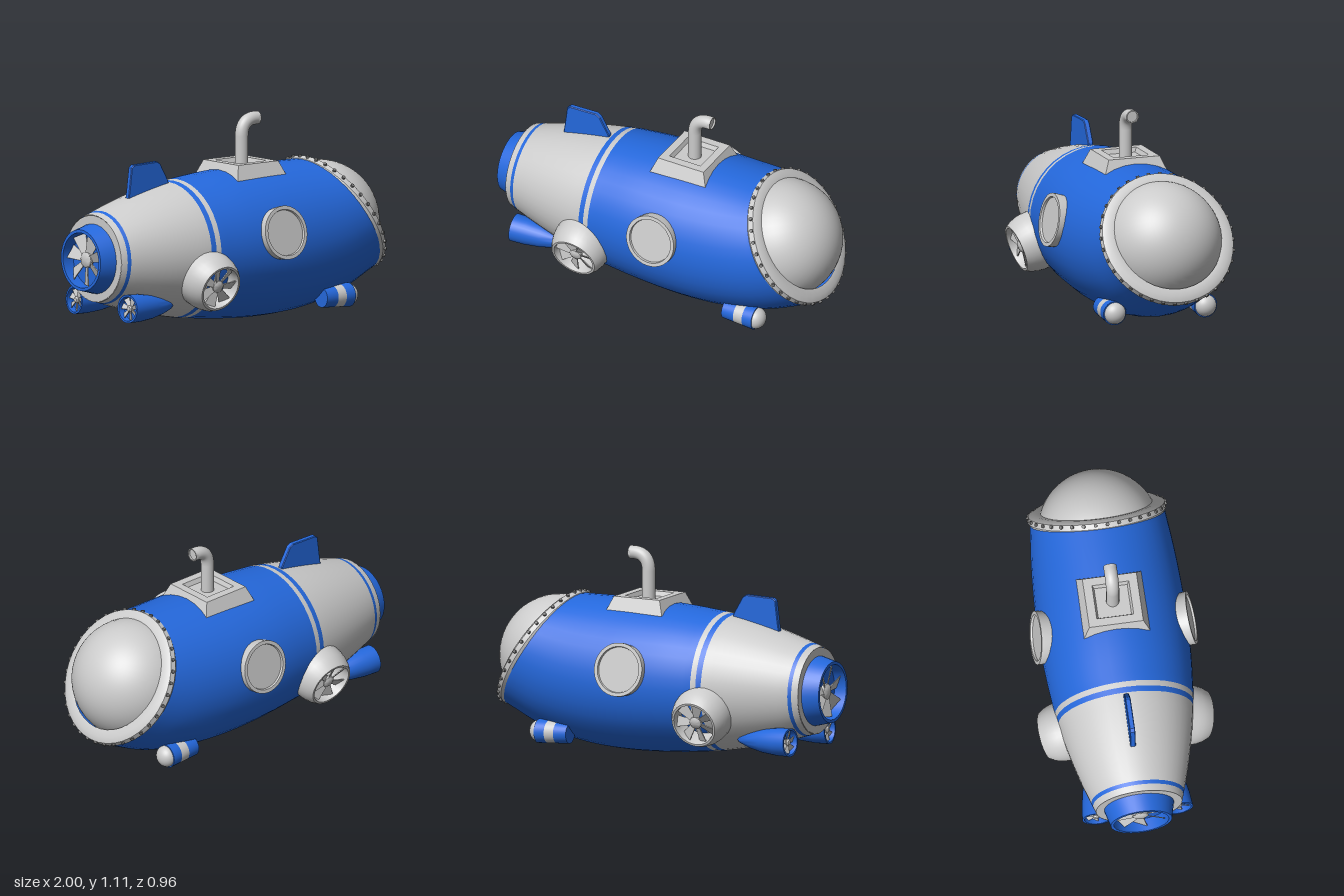
import * as THREE from 'three';
import { toCreasedNormals } from 'three/addons/utils/BufferGeometryUtils.js';

const grey = new THREE.MeshStandardMaterial({ color: 0xcccccc, side: THREE.DoubleSide });
const blue = new THREE.MeshStandardMaterial({ color: 0x2468dc, side: THREE.DoubleSide });
const dark = new THREE.MeshStandardMaterial({ color: 0x777777 });
const V = (x, y, z = 0) => new THREE.Vector3(x, y, z);
const UP = V(0, 1);

function add(parent, name, geometry, material) {
  const m = new THREE.Mesh(geometry, material);
  m.name = name;
  parent.add(m);
  return m;
}

// Turned part from [radius, height] pairs, axis along +y
const turned = (profile, sides = 36) =>
  toCreasedNormals(new THREE.LatheGeometry(profile.map(p => new THREE.Vector2(...p)), sides), 0.6);

// Place an object and point its +y axis along dir
function aim(obj, pos, dir) {
  obj.position.copy(pos);
  obj.quaternion.setFromUnitVectors(UP, dir.clone().normalize());
  return obj;
}

// Skin through elliptical sections {top, bottom, w}
function loft(sections, sides = 40) {
  const pos = [], index = [];
  sections.forEach(({ top, bottom, w }, i) => {
    const c = top.clone().add(bottom).multiplyScalar(0.5);
    const h = top.clone().sub(c);
    for (let j = 0; j < sides; j++) {
      const t = j / sides * Math.PI * 2;
      pos.push(c.x + h.x * Math.cos(t), c.y + h.y * Math.cos(t), w * Math.sin(t));
      if (i === 0) continue;
      const a = (i - 1) * sides + j, b = (i - 1) * sides + (j + 1) % sides;
      index.push(a, b, a + sides, b, b + sides, a + sides);
    }
  });
  const g = new THREE.BufferGeometry();
  g.setAttribute('position', new THREE.Float32BufferAttribute(pos, 3));
  g.setIndex(index);
  g.computeVertexNormals();
  return g;
}

// Propeller in the xz plane with pitched, widening blades
function fan(radius, blades = 7) {
  const g = new THREE.Group();
  g.name = 'fan';
  add(g, 'fanHub', turned([[radius * 0.3, -0.02], [radius * 0.3, 0], [radius * 0.2, 0.008], [0, 0.01]], 20), grey);
  const blade = new THREE.BoxGeometry(radius * 0.8, 0.005, radius * 0.55);
  const p = blade.attributes.position;
  for (let i = 0; i < p.count; i++) if (p.getX(i) < 0) p.setZ(i, p.getZ(i) * 0.45);
  blade.rotateX(0.45).translate(radius * 0.58, -0.008, 0);
  for (let i = 0; i < blades; i++) add(g, 'fanBlade', blade, grey).rotation.y = i / blades * Math.PI * 2;
  return g;
}

function addHull(sub) {
  const rear = x => {
    const d = x + 0.325, r = 0.378 + 0.147 * d - 0.167 * d * d;
    return { top: V(x, 0.413 + r), bottom: V(x, 0.413 - r), w: r };
  };
  const bands = [
    ['tailRing', -0.91, -0.875, grey], ['tailStripe', -0.875, -0.855, blue],
    ['rearHull', -0.855, -0.385, grey], ['blueStripe', -0.385, -0.355, blue],
    ['greyStripe', -0.355, -0.325, grey],
  ];
  for (const [name, a, b, mat] of bands) {
    const n = Math.ceil((b - a) / 0.06);
    add(sub, name, loft(Array.from({ length: n + 1 }, (_, i) => rear(a + (b - a) * i / n))), mat);
  }
  // Main hull: sections lean over progressively to meet the slanted window
  const tops = new THREE.CatmullRomCurve3([V(-0.325, 0.791), V(-0.1, 0.811), V(0.1, 0.819),
    V(0.25, 0.822), V(0.4, 0.822), V(0.55, 0.82)]);
  const bottoms = new THREE.CatmullRomCurve3([V(-0.325, 0.035), V(-0.1, 0.012), V(0.17, 0),
    V(0.43, 0.015), V(0.7, 0.075), V(0.95, 0.19)]);
  const widths = new THREE.CatmullRomCurve3([0.378, 0.398, 0.407, 0.402, 0.388, 0.365].map((w, i) => V(i, w)));
  const main = Array.from({ length: 25 }, (_, i) => ({
    top: tops.getPoint(i / 24), bottom: bottoms.getPoint(i / 24), w: widths.getPoint(i / 24).y }));
  add(sub, 'mainHull', loft(main), blue);

  // Tail plate, nozzle and main propeller, all on the hull axis
  const tail = aim(new THREE.Group(), V(0, 0.41), V(1, 0));
  tail.name = 'tail';
  sub.add(tail);
  add(tail, 'tailPlate', turned([[0.15, -0.908], [0.236, -0.908]]), grey);
  add(tail, 'nozzle', turned([[0, -0.93], [0.148, -0.93], [0.15, -1], [0.167, -1], [0.192, -0.9]]), blue);
  const prop = fan(0.143);
  prop.rotation.x = Math.PI;
  prop.position.y = -0.965;
  tail.add(prop);
}

function addWindow(sub) {
  const normal = V(0.845, 0.536);
  const dome = add(sub, 'domeWindow', new THREE.SphereGeometry(0.33, 40, 20, 0, Math.PI * 2, 0, Math.PI * 0.45), grey);
  aim(dome, V(0.67, 0.475), normal);
  const collar = aim(new THREE.Group(), V(0.75, 0.505), normal);
  collar.name = 'windowCollar';
  sub.add(collar);
  add(collar, 'collarRing', turned([[0.368, -0.015], [0.377, 0], [0.371, 0.03], [0.34, 0.046], [0.298, 0.042]], 40), grey);
  const bolt = new THREE.CylinderGeometry(0.01, 0.01, 0.016, 8);
  for (let i = 0; i < 36; i++) {
    const a = (i + 0.5) / 36 * Math.PI * 2, c = Math.cos(a), s = Math.sin(a);
    aim(add(collar, 'bolt', bolt, dark), V(0.374 * c, 0.02, 0.374 * s), V(c, 0.3, s));
  }
}

// Parts repeated on each side; s is +1 or -1 along z
function addSide(sub, s) {
  const porthole = add(sub, 'porthole', turned([[0.132, -0.13], [0.146, -0.02], [0.146, 0],
    [0.126, 0], [0.123, -0.012], [0, -0.012]]), grey);
  aim(porthole, V(0.09, 0.508, 0.425 * s), V(0, 0.19, 0.98 * s));

  const thruster = aim(new THREE.Group(), V(-0.378, 0.245, 0.437 * s), V(0, -0.32, 0.95 * s));
  thruster.name = 'sideThruster';
  sub.add(thruster);
  add(thruster, 'thrusterShell', turned([[0.163, -0.16], [0.163, -0.1], [0.158, -0.065], [0.147, -0.03],
    [0.13, 0], [0.118, 0], [0.113, -0.03], [0.113, -0.13]]), grey);
  const blades = fan(0.115);
  blades.position.y = -0.025;
  thruster.add(blades);

  const pod = aim(new THREE.Group(), V(-0.86, 0.157, 0.225 * s), V(0.345, -0.012, -0.025 * s));
  pod.name = 'rearPod';
  sub.add(pod);
  add(pod, 'podShell', turned([[0, 0.04], [0.064, 0.04], [0.066, 0], [0.077, 0], [0.075, 0.08],
    [0.064, 0.17], [0.045, 0.25], [0.022, 0.315], [0, 0.345]], 28), blue);
  const podFan = fan(0.062);
  podFan.rotation.x = Math.PI;
  podFan.position.y = 0.015;
  pod.add(podFan);

  const lamp = aim(new THREE.Group(), V(0.47, 0.1, 0.262 * s), V(1, 0));
  lamp.name = 'headlamp';
  sub.add(lamp);
  add(lamp, 'lampRear', turned([[0, 0], [0.054, 0], [0.059, 0.075]], 28), blue);
  add(lamp, 'lampBand', turned([[0.059, 0.075], [0.062, 0.13]], 28), grey);
  add(lamp, 'lampFront', turned([[0.062, 0.13], [0.066, 0.19], [0.058, 0.19]], 28), blue);
  const lens = add(lamp, 'lampLens', new THREE.SphereGeometry(0.06, 28, 10, 0, Math.PI * 2, 0, Math.PI / 2), grey);
  lens.position.y = 0.188;
  lens.scale.y = 0.87;
}

function addTop(sub) {
  // Square hatch base with a recessed top
  const q = Math.SQRT2;
  const hatch = new THREE.LatheGeometry([[0.172, 0.74], [0.171, 0.775], [0.14, 0.853], [0.096, 0.853], [0.086, 0.828], [0, 0.828]]
    .map(([r, y]) => new THREE.Vector2(r * q, y)), 4).rotateY(Math.PI / 4).scale(1, 1, 1.05).translate(0.125, 0, 0);
  add(sub, 'hatchBase', toCreasedNormals(hatch, 0.2), grey);

  // Periscope: straight stem, elbow and recessed end
  const path = new THREE.CurvePath();
  path.add(new THREE.LineCurve3(V(0.13, 0.8), V(0.13, 0.985)));
  path.add(new THREE.QuadraticBezierCurve3(V(0.13, 0.985), V(0.132, 1.07), V(0.21, 1.075)));
  path.add(new THREE.LineCurve3(V(0.21, 1.075), V(0.225, 1.075)));
  add(sub, 'periscope', new THREE.TubeGeometry(path, 40, 0.036, 24), grey);
  const eye = add(sub, 'periscopeEye', turned([[0.036, 0], [0.036, 0.015], [0.03, 0.015], [0.03, 0.005], [0, 0.005]], 24), grey);
  aim(eye, V(0.225, 1.075), V(1, 0));

  // Tail fin
  const fin = new THREE.Shape([[-0.675, 0.7], [-0.665, 0.76], [-0.65, 0.88], [-0.635, 0.893],
    [-0.475, 0.898], [-0.455, 0.885], [-0.4, 0.79], [-0.39, 0.74]].reverse().map(p => new THREE.Vector2(...p)));
  const finGeo = new THREE.ExtrudeGeometry(fin, { depth: 0.022, bevelSize: 0.004, bevelThickness: 0.004, bevelSegments: 1 });
  add(sub, 'tailFin', finGeo.translate(0, 0, -0.011), blue);
}

export function createModel() {
  const sub = new THREE.Group();
  sub.name = 'submarine';
  addHull(sub);
  addWindow(sub);
  addTop(sub);
  for (const s of [1, -1]) addSide(sub, s);
  return sub;
}
